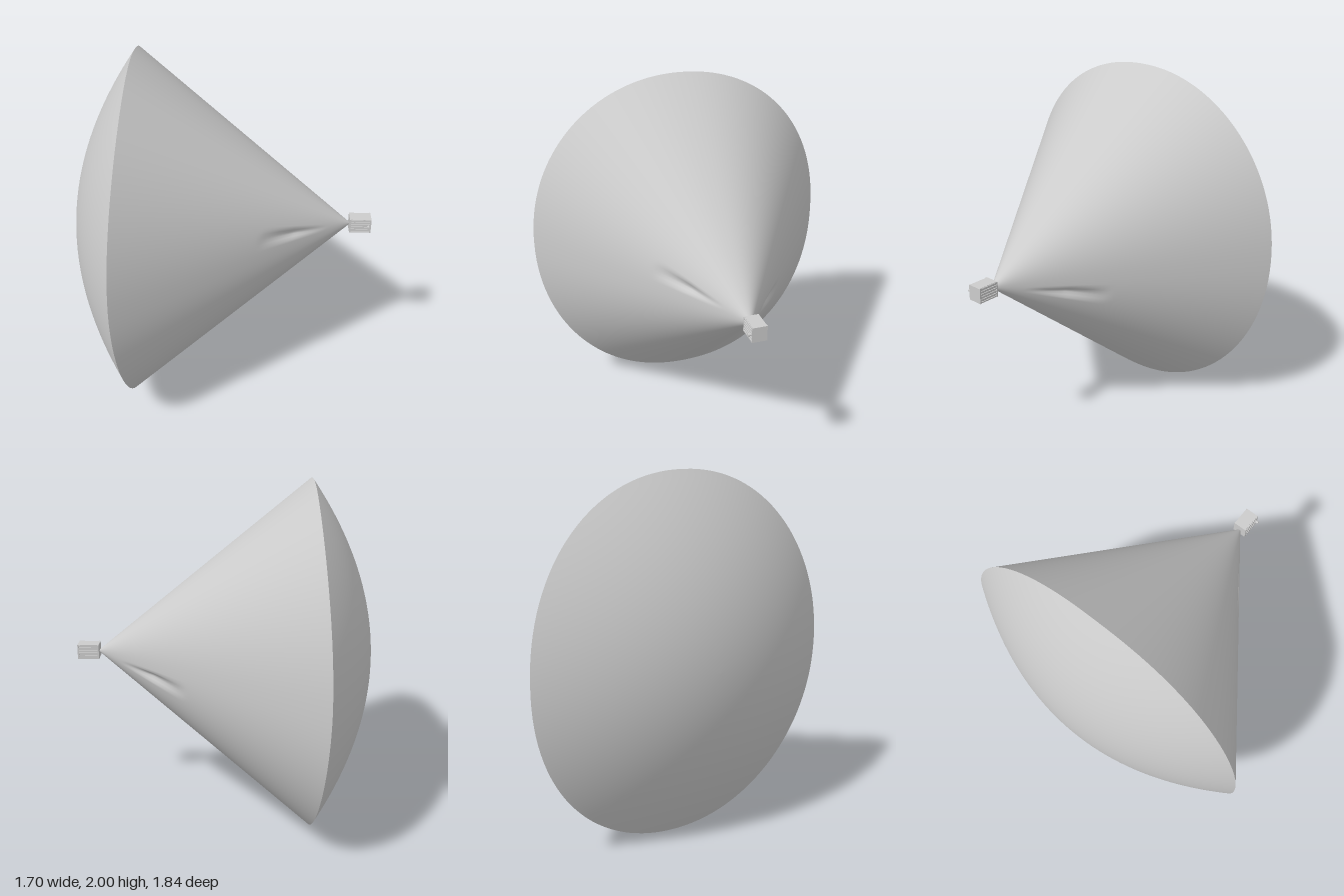
import * as THREE from 'three';

const APEX = 0.73, SEG = 128;
const mat = () => new THREE.MeshStandardMaterial({ color: 0xcccccc, side: THREE.DoubleSide });

// Rim outline: a slightly squared ellipse around the x axis, angle 0 at +z
function rim(a) {
  const c = Math.cos(a), s = Math.sin(a), p = 2 / 2.1;
  return {
    y: Math.sign(s) * Math.abs(s) ** p,
    z: 0.92 * Math.sign(c) * Math.abs(c) ** p,
  };
}
const bulge = (y, z) => -0.85 + 0.35 * (y * y + z * z);

// Builds a closed surface of rings from point(t, angle)
function ringSurface(point, rows) {
  const pos = [], index = [];
  for (let i = 0; i <= rows; i++)
    for (let j = 0; j < SEG; j++) pos.push(...point(i / rows, (j / SEG) * Math.PI * 2));
  for (let i = 0; i < rows; i++)
    for (let j = 0; j < SEG; j++) {
      const k = (j + 1) % SEG;
      const a = i * SEG + j, b = i * SEG + k, c = a + SEG, d = b + SEG;
      index.push(a, b, c, b, d, c);
    }
  const g = new THREE.BufferGeometry();
  g.setAttribute('position', new THREE.Float32BufferAttribute(pos, 3));
  g.setIndex(index);
  g.computeVertexNormals();
  return g;
}

// Small pinched fold on two opposite sides of the cone
function fold(t, a) {
  const da = ((a - 0.27 + Math.PI * 2) % Math.PI) - 0;
  const d = Math.min(da, Math.PI - da);
  const along = Math.max(0, 1 - Math.abs(t - 0.27) / 0.15);
  return 1 - 0.13 * along * Math.max(0, 1 - d / 0.12);
}

function conePoint(t, a) {
  const r = rim(a), x = bulge(r.y, r.z), f = fold(t, a);
  return [APEX + (x - APEX) * t, 1 + r.y * t * f, r.z * t * f];
}

function capPoint(t, a) {
  const r = rim(a), s = 1 - t;
  return [bulge(r.y * s, r.z * s), 1 + r.y * s, r.z * s];
}

export function createModel() {
  const model = new THREE.Group();
  const add = (name, geometry, x = 0, y = 0, z = 0, parent = model) => {
    const mesh = new THREE.Mesh(geometry, mat());
    mesh.name = name;
    mesh.position.set(x, y, z);
    parent.add(mesh);
    return mesh;
  };

  // Cone and its domed end
  add('cone', ringSurface(conePoint, 60));
  add('domedEnd', ringSurface(capPoint, 32));

  // Small box at the tip
  const box = new THREE.Group();
  box.name = 'tipBox';
  box.position.set(0.783, 1.003, 0);
  model.add(box);
  add('boxBody', new THREE.BoxGeometry(0.124, 0.086, 0.074), 0, 0, 0, box);

  // Ribs on the front and back faces, with end plates
  for (const side of [-1, 1]) {
    for (let i = 0; i < 6; i++)
      add('rib', new THREE.BoxGeometry(0.11, 0.007, 0.006), 0, -0.0375 + i * 0.015, side * 0.039, box);
    add('endPlate', new THREE.BoxGeometry(0.008, 0.086, 0.084), side * 0.058, 0, 0, box);
  }

  // Knob on the front face
  const knob = add('knob', new THREE.CylinderGeometry(0.008, 0.008, 0.02, 16), 0.047, 0, 0.05, box);
  knob.rotation.x = Math.PI / 2;

  return model;
}
